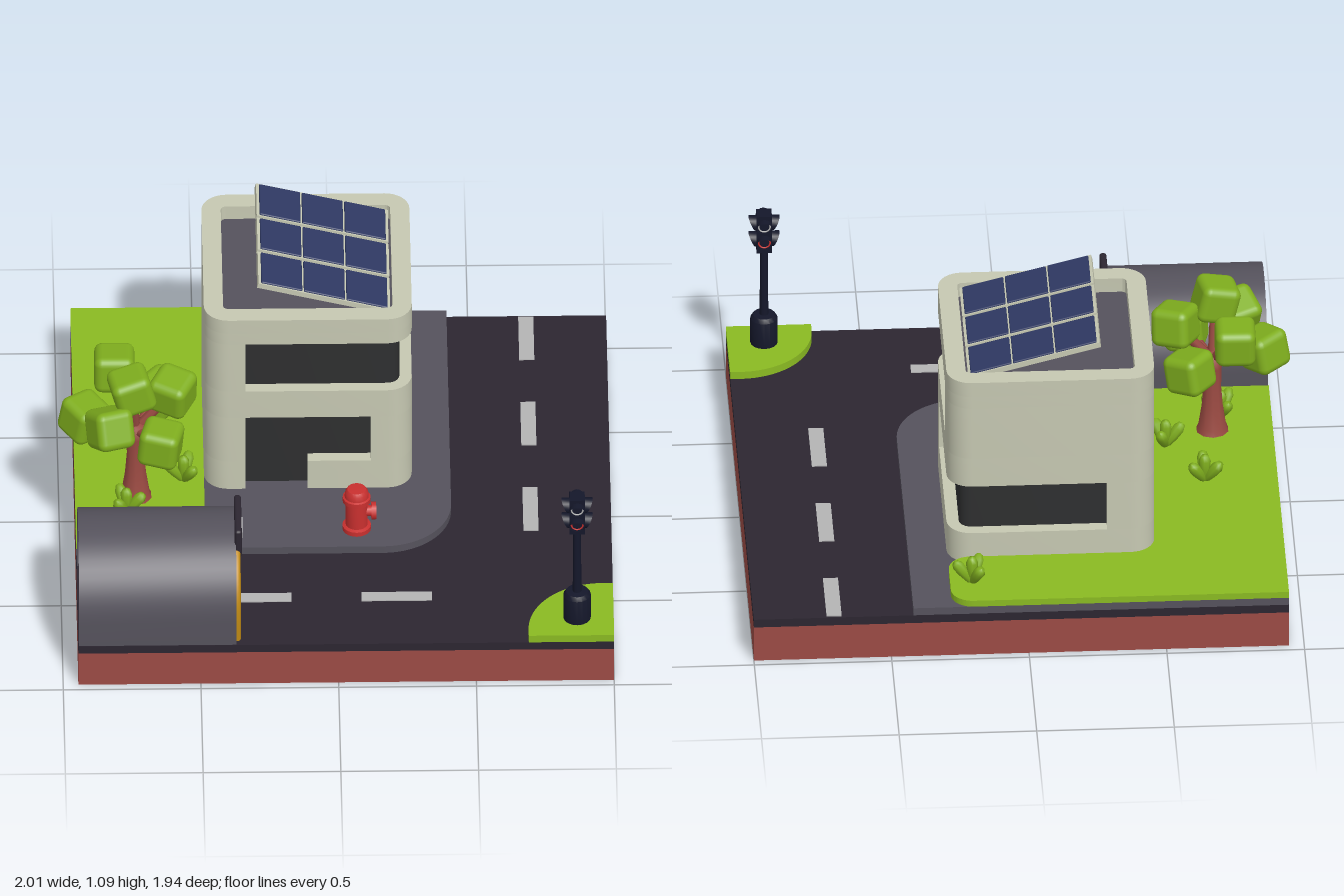
import * as THREE from 'three';
import { toCreasedNormals } from 'three/addons/utils/BufferGeometryUtils.js';
import { RoundedBoxGeometry } from 'three/addons/geometries/RoundedBoxGeometry.js';

const mat = (color) => new THREE.MeshStandardMaterial({ color, side: THREE.DoubleSide });
const M = {
  brick: mat(0x9c4b45), road: mat(0x2c2631), pave: mat(0x55525c), grass: mat(0x8aba22), line: mat(0xb4b4b4),
  wall: mat(0xc6c8b2), glass: mat(0x2e2f30), cell: mat(0x2f3963), orange: mat(0xc08a14), red: mat(0xc9302f),
  navy: mat(0x14172a), trunk: mat(0x9a4a42), leaf: mat(0x7fae1e),
};

function add(parent, name, geo, material, x = 0, y = 0, z = 0) {
  const m = new THREE.Mesh(geo, material);
  m.name = name;
  m.position.set(x, y, z);
  parent.add(m);
  return m;
}
function group(parent, name, x = 0, y = 0, z = 0) {
  const g = new THREE.Group();
  g.name = name;
  g.position.set(x, y, z);
  parent.add(g);
  return g;
}
const box = (w, h, d) => new THREE.BoxGeometry(w, h, d);
const extrude = (shape, depth) =>
  toCreasedNormals(new THREE.ExtrudeGeometry(shape, { depth, bevelEnabled: false, curveSegments: 12 }), 0.5);
// Plan shapes use (x, -z) and are raised from y0 to y1
const slab = (shape, y0, y1) => extrude(shape, y1 - y0).rotateX(-Math.PI / 2).translate(0, y0, 0);

function rect(x0, x1, s0, s1, Type = THREE.Shape) {
  return new Type().moveTo(x0, s0).lineTo(x1, s0).lineTo(x1, s1).lineTo(x0, s1).closePath();
}

function buildGround(root) {
  const g = group(root, 'ground');
  const L = -0.945, E = 0.97;
  const frame = rect(L, 1, -E, E);
  frame.holes.push(rect(L + 0.01, 0.99, -E + 0.01, E - 0.01, THREE.Path));
  add(g, 'brickSkirt', slab(frame, 0, 0.14), M.brick);
  add(g, 'brickPlate', slab(rect(L, 1, -E, E), 0.13, 0.142), M.brick);
  add(g, 'road', slab(rect(L, 1, -E, E), 0.142, 0.175), M.road);

  const pave = new THREE.Shape().moveTo(L, -0.43).lineTo(0.17, -0.43);
  pave.absarc(0.17, -0.18, 0.25, -Math.PI / 2, 0).lineTo(0.42, E).lineTo(L, E).closePath();
  add(g, 'sidewalk', slab(pave, 0.175, 0.205), M.pave);

  const lawn = new THREE.Shape().moveTo(L, -0.43).lineTo(-0.475, -0.43).lineTo(-0.475, 0.3)
    .lineTo(-0.44, 0.3).lineTo(-0.44, 0.64).lineTo(-0.3, 0.64).lineTo(-0.3, 0.67).lineTo(0.2, 0.67);
  lawn.absarc(0.2, 0.75, 0.08, -Math.PI / 2, 0).lineTo(0.28, 0.89);
  lawn.absarc(0.2, 0.89, 0.08, 0, Math.PI / 2).lineTo(L, E).closePath();
  add(g, 'lawn', slab(lawn, 0.205, 0.23), M.grass);

  const verge = new THREE.Shape().moveTo(1, -E).lineTo(1, -0.66);
  verge.absarc(0.96, -0.93, 0.27, Math.PI / 2, Math.PI).lineTo(0.69, -E).closePath();
  add(g, 'cornerVerge', slab(verge, 0.175, 0.205), M.grass);

  for (const z of [-0.835, -0.328, 0.18]) add(g, 'roadDash', box(0.055, 0.006, 0.255), M.line, 0.708, 0.176, z);
  for (const x of [-0.295, 0.215]) add(g, 'roadDash', box(0.255, 0.006, 0.05), M.line, x, 0.176, 0.692);
}

function buildHouse(root) {
  const g = group(root, 'house');
  const X0 = -0.475, X1 = 0.28, S0 = -0.08, S1 = 0.67, R = 0.09, T = 0.045;
  // Stations are [x, s, normalX, normalS] along the outer wall line
  const corner = (cx, cs, a0) => Array.from({ length: 9 }, (_, i) => {
    const a = a0 + (i / 8) * Math.PI / 2, c = Math.cos(a), s = Math.sin(a);
    return [cx + R * c, cs + R * s, c, s];
  });
  const FR = corner(X1 - R, S0 + R, -Math.PI / 2), BR = corner(X1 - R, S1 - R, 0);
  const BL = corner(X0 + R, S1 - R, Math.PI / 2), FL = corner(X0 + R, S0 + R, Math.PI);
  const front = (x) => [x, S0, 0, -1], back = (x) => [x, S1, 0, 1], right = (z) => [X1, -z, 1, 0];
  const all = [...FR, ...BR, ...BL, ...FL];
  const offset = (st, d) => st.map(([x, s, nx, ns]) => new THREE.Vector2(x - nx * d, s - ns * d));
  const band = (st, y0, y1, t = T + 0.01) =>
    add(g, 'wall', slab(new THREE.Shape([...offset(st, 0), ...offset(st, t).reverse()]), y0, y1), M.wall);
  const ring = (y0, y1, t) => {
    const s = new THREE.Shape(offset(all, 0));
    s.holes.push(new THREE.Path(offset(all, t)));
    add(g, 'wallRing', slab(s, y0, y1), M.wall);
  };

  band([front(-0.1), ...all, front(-0.325)], 0.205, 0.33);
  band([front(0.13), ...FR, right(-0.08)], 0.33, 0.53);
  band([back(-0.3), ...BL, ...FL, front(-0.325)], 0.33, 0.53);
  ring(0.53, 0.65, T + 0.01);
  band([right(-0.49), ...BR, ...BL, ...FL, front(-0.325)], 0.65, 0.865);
  ring(0.865, 0.915, T + 0.01);
  ring(0.915, 0.975, 0.07);
  add(g, 'windows', slab(new THREE.Shape(offset(all, T)), 0.205, 0.9), M.glass);
  add(g, 'roofFloor', slab(new THREE.Shape(offset(all, T)), 0.9, 0.918), M.pave);

  // Tilted solar array, three rows of three cells
  const solar = group(g, 'solarPanels', -0.04, 1.012, -0.295);
  solar.rotation.z = -0.26;
  for (let r = -1; r <= 1; r++) {
    add(solar, 'panelFrame', box(0.495, 0.02, 0.19), M.wall, 0, 0, r * 0.203);
    for (let c = -1; c <= 1; c++)
      add(solar, 'solarCell', new RoundedBoxGeometry(0.154, 0.012, 0.178, 1, 0.004), M.cell, c * 0.16, 0.01, r * 0.203);
  }
}

function buildTunnel(root) {
  const g = group(root, 'tunnel', 0, 0.175, 0.705);
  const arch = (r, Type) => {
    const s = new Type().moveTo(r, 0).lineTo(r, 0.102);
    return s.absarc(0, 0.102, r, 0, Math.PI).lineTo(-r, 0).closePath();
  };
  const shell = arch(0.263, THREE.Shape);
  shell.holes.push(arch(0.213, THREE.Path));
  const side = (geo, x) => geo.rotateY(Math.PI / 2).translate(x, 0, 0);
  add(g, 'tunnelShell', side(extrude(shell, 0.572), -0.942), M.pave);
  add(g, 'tunnelEndWall', side(extrude(arch(0.215, THREE.Shape), 0.02), -0.925), M.pave);

  // Trim around the mouth
  const pts = [new THREE.Vector3(-0.368, 0, 0.228)];
  for (let i = 0; i <= 12; i++) {
    const a = (i / 12) * Math.PI;
    pts.push(new THREE.Vector3(-0.368, 0.102 + 0.228 * Math.sin(a), 0.228 * Math.cos(a)));
  }
  pts.push(new THREE.Vector3(-0.368, 0, -0.228));
  add(g, 'mouthTrim', new THREE.TubeGeometry(new THREE.CatmullRomCurve3(pts), 48, 0.014, 8), M.orange);

  add(g, 'signBoard', new RoundedBoxGeometry(0.026, 0.12, 0.226, 2, 0.01), M.road, -0.362, 0.341, 0);
  const arrow = new THREE.Shape([[-0.02, -0.04], [0.02, -0.04], [0.02, 0], [0.04, 0], [0, 0.042], [-0.04, 0], [-0.02, 0]]
    .map(([x, y]) => new THREE.Vector2(x, y)));
  add(g, 'signArrow', side(extrude(arrow, 0.004), 0), M.line, -0.35, 0.341, 0);
}

function buildTrafficLight(root) {
  const g = group(root, 'trafficLight', 0.867, 0.205, 0.86);
  const prof = [[0, 0], [0.05, 0], [0.05, 0.105], [0.04, 0.12], [0.016, 0.122], [0.014, 0.4], [0, 0.4]];
  add(g, 'post', toCreasedNormals(new THREE.LatheGeometry(prof.map((p) => new THREE.Vector2(...p)), 16), 0.6), M.navy);
  add(g, 'head', box(0.056, 0.155, 0.056), M.navy, 0, 0.476, 0);
  for (let k = 0; k < 4; k++) {
    const face = group(g, 'lightFace');
    face.rotation.y = k * Math.PI / 2;
    for (const [y, lens] of [[0.512, M.line], [0.444, M.red]]) {
      // Hood reaches further out at its top
      const hood = new THREE.CylinderGeometry(0.029, 0.029, 1, 16, 1, true).rotateX(Math.PI / 2);
      const p = hood.attributes.position;
      for (let i = 0; i < p.count; i++)
        p.setZ(i, p.getZ(i) > 0 ? 0.031 + 0.026 * (p.getY(i) + 0.029) / 0.058 : 0.025);
      hood.computeVertexNormals();
      add(face, 'hood', hood, M.navy, 0, y, 0);
      add(face, 'lensRing', new THREE.TorusGeometry(0.021, 0.003, 6, 20), lens, 0, y, 0.03);
    }
  }
}

function buildHydrant(root) {
  const g = group(root, 'hydrant', 0.075, 0.205, 0.32);
  const prof = [[0, 0], [0.052, 0], [0.052, 0.018], [0.04, 0.022], [0.04, 0.125], [0.051, 0.127], [0.051, 0.145],
    [0.044, 0.148], [0.042, 0.168], [0.034, 0.18], [0, 0.182]];
  add(g, 'body', toCreasedNormals(new THREE.LatheGeometry(prof.map((p) => new THREE.Vector2(...p)), 20), 0.6), M.red);
  add(g, 'nozzle', new THREE.CylinderGeometry(0.02, 0.02, 0.06, 14).rotateZ(Math.PI / 2), M.red, 0.035, 0.08, 0);
  add(g, 'nozzleCap', new THREE.CylinderGeometry(0.032, 0.032, 0.018, 14).rotateZ(Math.PI / 2), M.red, 0.062, 0.08, 0);
}

function buildTree(root) {
  const g = group(root, 'tree');
  const prof = [[0.068, 0.21], [0.052, 0.25], [0.04, 0.33], [0.033, 0.42], [0.035, 0.5], [0.042, 0.56], [0, 0.57]];
  add(g, 'trunk', new THREE.LatheGeometry(prof.map((p) => new THREE.Vector2(...p)), 10), M.trunk, -0.725, 0, 0.145);
  const fork = new THREE.Vector3(-0.725, 0.53, 0.145);
  const leaves = [[-0.74, 0.755, 0.2], [-0.59, 0.695, 0.13], [-0.82, 0.645, 0.285], [-0.635, 0.58, 0.29],
    [-0.91, 0.58, 0.13], [-0.80, 0.7, -0.005], [-0.635, 0.58, -0.01]];
  leaves.forEach(([x, y, z], i) => {
    const end = new THREE.Vector3(x, y, z);
    add(g, 'branch', new THREE.TubeGeometry(new THREE.LineCurve3(fork, end), 1, 0.018, 7), M.trunk);
    const leaf = add(g, 'leafBlock', new RoundedBoxGeometry(0.146, 0.146, 0.146, 3, 0.03), M.leaf, x, y, z);
    leaf.rotation.set(0.25 * Math.sin(i * 2.1), i * 0.9 + 0.2, 0.25 * Math.cos(i * 1.7));
  });
}

function buildTufts(root) {
  for (const [x, z, turn] of [[0.2, -0.835, 0], [-0.68, -0.19, 0.6], [-0.55, 0.05, 1.2], [-0.76, 0.24, 2]]) {
    const g = group(root, 'plantTuft', x, 0.225, z);
    g.rotation.y = turn;
    for (let i = 0; i < 4; i++) {
      const pivot = group(g, 'blade');
      pivot.rotation.set(0, i * 2.1, i < 3 ? -0.62 : 0);
      const prof = [[0, 0], [0.012, 0], [0.02, 0.05], [0.022, 0.085], [0.014, 0.104], [0, 0.11]];
      add(pivot, 'bladeLeaf', new THREE.LatheGeometry(prof.map((p) => new THREE.Vector2(...p)), 8), M.leaf);
    }
  }
}

export function createModel() {
  const root = new THREE.Group();
  root.name = 'streetCorner';
  [buildGround, buildHouse, buildTunnel, buildTrafficLight, buildHydrant, buildTree, buildTufts].forEach((f) => f(root));
  return root;
}
